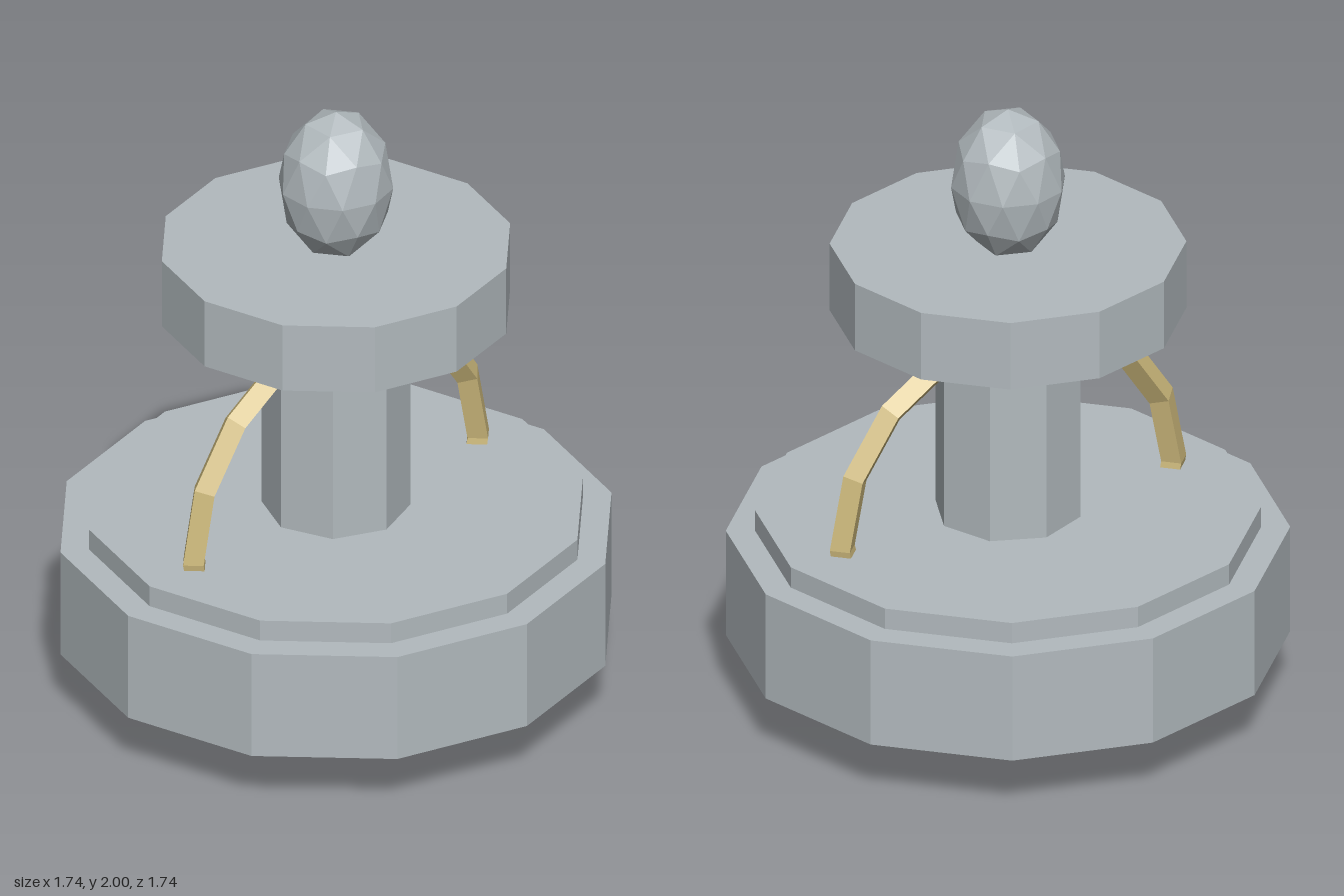
import * as THREE from 'three';

export function createModel() {
  const model = new THREE.Group();
  const stone = new THREE.MeshStandardMaterial({ color: 0xb2babe, flatShading: true });
  stone.name = 'grey stone';
  const brass = new THREE.MeshStandardMaterial({ color: 0xcdb97c, flatShading: true });
  brass.name = 'pale brass';

  const add = (name, geometry, material, y) => {
    const mesh = new THREE.Mesh(geometry, material);
    mesh.name = name;
    mesh.position.y = y;
    model.add(mesh);
    return mesh;
  };

  // Upright faceted drum between two heights
  const drum = (name, radius, bottom, top, sides) =>
    add(name, new THREE.CylinderGeometry(radius, radius, top - bottom, sides), stone, (bottom + top) / 2);

  drum('base', 0.87, 0.19, 0.55, 12);
  drum('baseStep', 0.78, 0.55, 0.62, 12);
  drum('column', 0.23, 0.62, 1.31, 8);
  drum('upperDisc', 0.55, 1.31, 1.54, 12);

  // Egg finial: a faceted sphere turned so one corner points straight up
  const egg = new THREE.IcosahedronGeometry(1, 1);
  egg.rotateZ(-Math.atan(2 / (1 + Math.sqrt(5))));
  egg.scale(0.18, 0.25, 0.18);
  add('finial', egg, stone, 1.75);

  // Upright hoop passing through the column and base, square in section
  add('hoop', new THREE.TorusGeometry(0.595, 0.045, 4, 16), brass, 0.64);

  return model;
}
